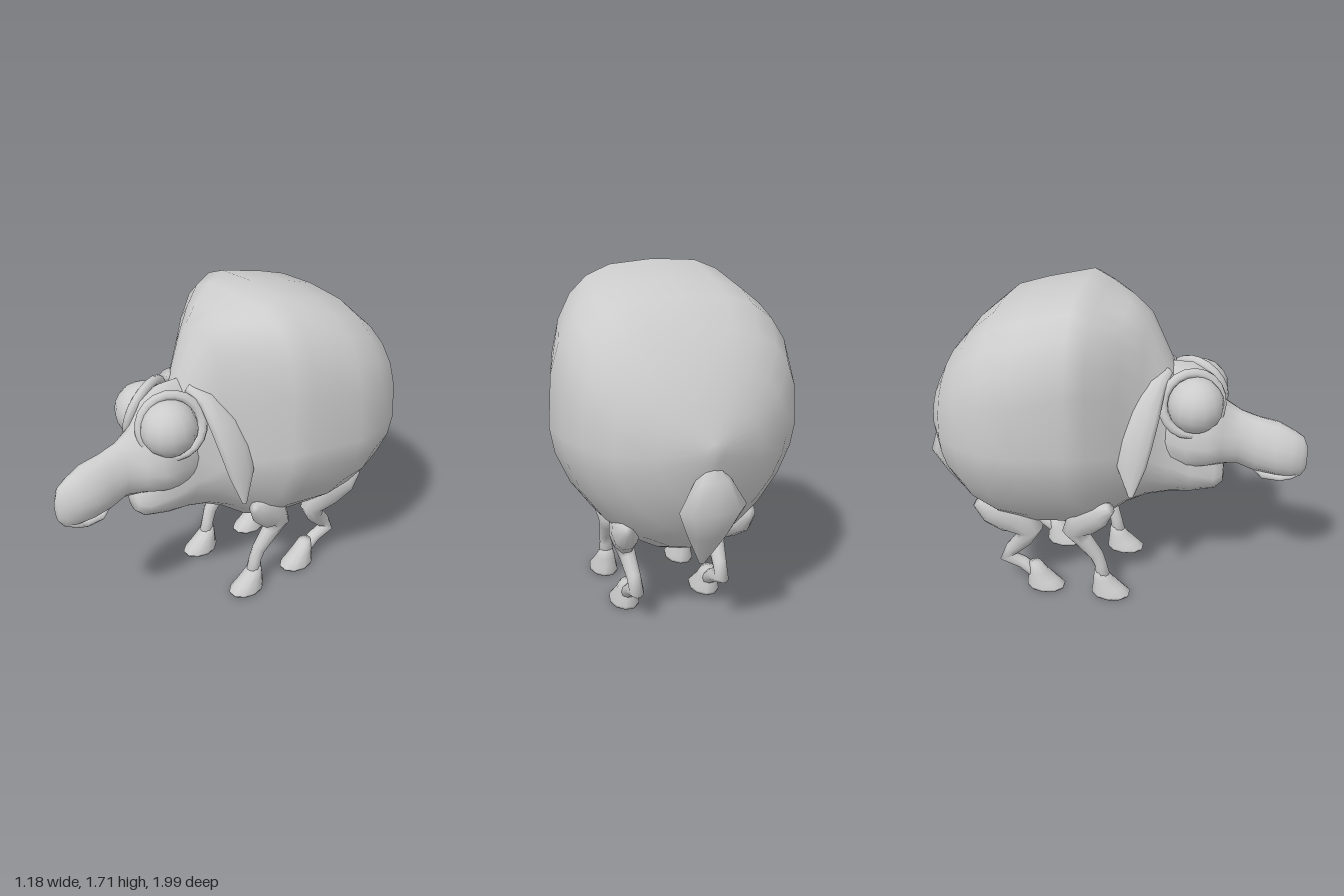
import * as THREE from 'three';

const material = new THREE.MeshStandardMaterial({ color: 0xcccccc, side: THREE.DoubleSide });

// Closed smooth skin over a list of rings (arrays of Vector3 with equal length)
function skin(name, rings) {
  const n = rings[0].length, pos = [], idx = [];
  rings.forEach(r => r.forEach(p => pos.push(p.x, p.y, p.z)));
  for (let i = 0; i < rings.length - 1; i++) {
    for (let j = 0; j < n; j++) {
      const k = (j + 1) % n, a = i * n + j, b = i * n + k;
      idx.push(a, b, b + n, a, b + n, a + n);
    }
  }
  const last = rings.length - 1;
  [0, last].forEach(i => {
    const c = rings[i].reduce((s, p) => s.add(p), new THREE.Vector3()).divideScalar(n);
    const ci = pos.length / 3;
    pos.push(c.x, c.y, c.z);
    for (let j = 0; j < n; j++) {
      const a = i * n + j, b = i * n + (j + 1) % n;
      if (i === 0) idx.push(ci, b, a); else idx.push(ci, a, b);
    }
  });
  const g = new THREE.BufferGeometry();
  g.setAttribute('position', new THREE.Float32BufferAttribute(pos, 3));
  g.setIndex(idx);
  g.computeVertexNormals();
  const mesh = new THREE.Mesh(g, material);
  mesh.name = name;
  return mesh;
}

// Sections along z, back to front: [z, top, bottom, widest y, half width, boxiness of top]
function hull(name, sections, roundBottom, n) {
  return skin(name, sections.map(([z, top, bottom, mid, hw, roundTop]) => {
    const ring = [];
    for (let j = 0; j < n; j++) {
      const a = (j / n) * Math.PI * 2, c = Math.cos(a), s = Math.sin(a);
      const e = 2 / (s >= 0 ? roundTop : roundBottom);
      const h = s >= 0 ? top - mid : mid - bottom;
      ring.push(new THREE.Vector3(
        hw * Math.sign(c) * Math.abs(c) ** e,
        mid + h * Math.sign(s) * Math.abs(s) ** e, z));
    }
    return ring;
  }));
}

// Elliptic limb along a path: [x, y, z, radius along axis, radius across]
function limb(name, path, axis, n = 10, fixedTangent = null) {
  const pts = path.map(p => new THREE.Vector3(p[0], p[1], p[2]));
  return skin(name, path.map((p, i) => {
    const t = fixedTangent ? fixedTangent.clone()
      : pts[Math.min(i + 1, pts.length - 1)].clone().sub(pts[Math.max(i - 1, 0)]);
    t.normalize();
    const u = axis.clone().addScaledVector(t, -axis.dot(t)).normalize();
    const v = t.clone().cross(u);
    return Array.from({ length: n }, (_, j) => {
      const a = (j / n) * Math.PI * 2;
      return pts[i].clone().addScaledVector(u, p[3] * Math.cos(a)).addScaledVector(v, p[4] * Math.sin(a));
    });
  }));
}

const X = new THREE.Vector3(1, 0, 0), Z = new THREE.Vector3(0, 0, 1), DOWN = new THREE.Vector3(0, -1, 0);
const flip = (path, s) => path.map(p => [p[0] * s, ...p.slice(1)]);

export function createModel() {
  const model = new THREE.Group();
  model.name = 'sheep';

  // Woolly body, boxy on top, keeled below, tapering to a narrow low chest
  model.add(hull('body', [
    [-0.945, 1.04, 0.95, 1.0, 0.04, 2], [-0.89, 1.18, 0.73, 0.98, 0.25, 2.2], [-0.8, 1.34, 0.55, 0.98, 0.41, 2.4],
    [-0.68, 1.48, 0.43, 1.0, 0.52, 2.7], [-0.54, 1.6, 0.36, 1.0, 0.57, 2.8], [-0.38, 1.65, 0.35, 1.0, 0.59, 2.8],
    [-0.14, 1.71, 0.36, 0.99, 0.52, 3.1], [-0.05, 1.66, 0.39, 0.97, 0.47, 3.5], [0.08, 1.61, 0.49, 0.93, 0.34, 3.2],
    [0.18, 1.55, 0.54, 0.87, 0.23, 2.8], [0.3, 1.32, 0.57, 0.8, 0.16, 2.2], [0.42, 1.05, 0.59, 0.76, 0.15, 2],
    [0.54, 0.86, 0.62, 0.72, 0.1, 2], [0.58, 0.76, 0.66, 0.71, 0.05, 2],
  ], 1.68, 24));

  // Head with wide cheeks, narrow brow and long muzzle
  model.add(hull('head', [
    [0.1, 1.28, 0.75, 0.95, 0.12, 1.6], [0.25, 1.32, 0.72, 0.95, 0.15, 1.7], [0.4, 1.32, 0.74, 0.93, 0.19, 1.5],
    [0.5, 1.26, 0.77, 0.93, 0.19, 1.5], [0.57, 1.13, 0.78, 0.93, 0.14, 1.6], [0.65, 1.08, 0.78, 0.92, 0.09, 1.8],
    [0.74, 1.05, 0.75, 0.89, 0.1, 1.8], [0.84, 1.03, 0.74, 0.87, 0.11, 1.8], [0.92, 0.99, 0.73, 0.86, 0.09, 1.8],
    [0.97, 0.96, 0.74, 0.85, 0.06, 1.8], [0.995, 0.9, 0.78, 0.84, 0.025, 1.8],
  ], 2, 16));
  model.add(hull('lowerJaw', [
    [0.73, 0.79, 0.755, 0.775, 0.04, 2], [0.78, 0.77, 0.712, 0.74, 0.06, 2], [0.87, 0.76, 0.712, 0.74, 0.07, 2],
    [0.93, 0.79, 0.725, 0.755, 0.06, 2], [0.97, 0.79, 0.745, 0.77, 0.03, 2],
  ], 2, 10));

  const hoof = (x, z) => [
    [x, 0.15, z - 0.035, 0.035, 0.035], [x, 0.1, z - 0.02, 0.053, 0.055], [x, 0.055, z + 0.005, 0.062, 0.085],
    [x, 0.02, z + 0.022, 0.075, 0.107], [x, 0.005, z + 0.022, 0.073, 0.103],
  ];

  for (const [side, s] of [['left', 1], ['right', -1]]) {
    // Bulging eye in a lid ring that leans towards the brow
    const eye = new THREE.Mesh(new THREE.SphereGeometry(0.142, 14, 10), material);
    eye.name = side + 'Eye';
    eye.position.set(s * 0.112, 1.14, 0.428);
    const lid = new THREE.Mesh(new THREE.TorusGeometry(0.152, 0.025, 8, 20), material);
    lid.name = side + 'Eyelid';
    lid.position.set(s * 0.115, 1.145, 0.415);
    lid.rotation.set(0, s * 1.15, s * 0.3, 'ZYX');
    model.add(eye, lid);

    // Hanging leaf-shaped ear
    model.add(limb(side + 'Ear', flip([
      [0.07, 1.29, 0.28, 0.03, 0.025], [0.16, 1.25, 0.24, 0.05, 0.035], [0.24, 1.13, 0.19, 0.085, 0.038],
      [0.29, 1.0, 0.16, 0.09, 0.035], [0.325, 0.88, 0.15, 0.075, 0.028], [0.355, 0.72, 0.155, 0.012, 0.008],
    ], s), Z));

    // Front leg with a broad shoulder
    model.add(limb(side + 'FrontLeg', flip([
      [0.29, 0.6, 0.04, 0.03, 0.03], [0.275, 0.55, -0.03, 0.055, 0.08], [0.26, 0.48, -0.12, 0.06, 0.09],
      [0.245, 0.41, -0.165, 0.055, 0.065], [0.235, 0.35, -0.12, 0.045, 0.05], [0.225, 0.25, -0.05, 0.036, 0.038],
      [0.22, 0.19, -0.03, 0.035, 0.033], [0.22, 0.1, -0.015, 0.04, 0.04],
    ], s), X));
    model.add(limb(side + 'FrontHoof', flip(hoof(0.22, 0.005), s), X, 10, DOWN));

    // Back leg with a full thigh and a bent hock
    model.add(limb(side + 'BackLeg', flip([
      [0.31, 0.57, -0.67, 0.03, 0.035], [0.295, 0.52, -0.6, 0.065, 0.085], [0.27, 0.47, -0.49, 0.07, 0.11],
      [0.25, 0.39, -0.41, 0.055, 0.08], [0.235, 0.31, -0.45, 0.042, 0.05], [0.227, 0.23, -0.52, 0.036, 0.04],
      [0.225, 0.175, -0.555, 0.036, 0.045], [0.22, 0.14, -0.47, 0.036, 0.035], [0.22, 0.08, -0.39, 0.04, 0.035],
    ], s), X));
    model.add(limb(side + 'BackHoof', flip(hoof(0.22, -0.36), s), X, 10, DOWN));
  }

  // Short drooping tail
  model.add(limb('tail', [
    [0, 0.95, -0.9, 0.025, 0.02], [0, 0.86, -0.92, 0.09, 0.045], [0, 0.74, -0.935, 0.16, 0.065],
    [0, 0.6, -0.885, 0.1, 0.05], [0, 0.42, -0.82, 0.012, 0.01],
  ], X, 8));

  return model;
}
